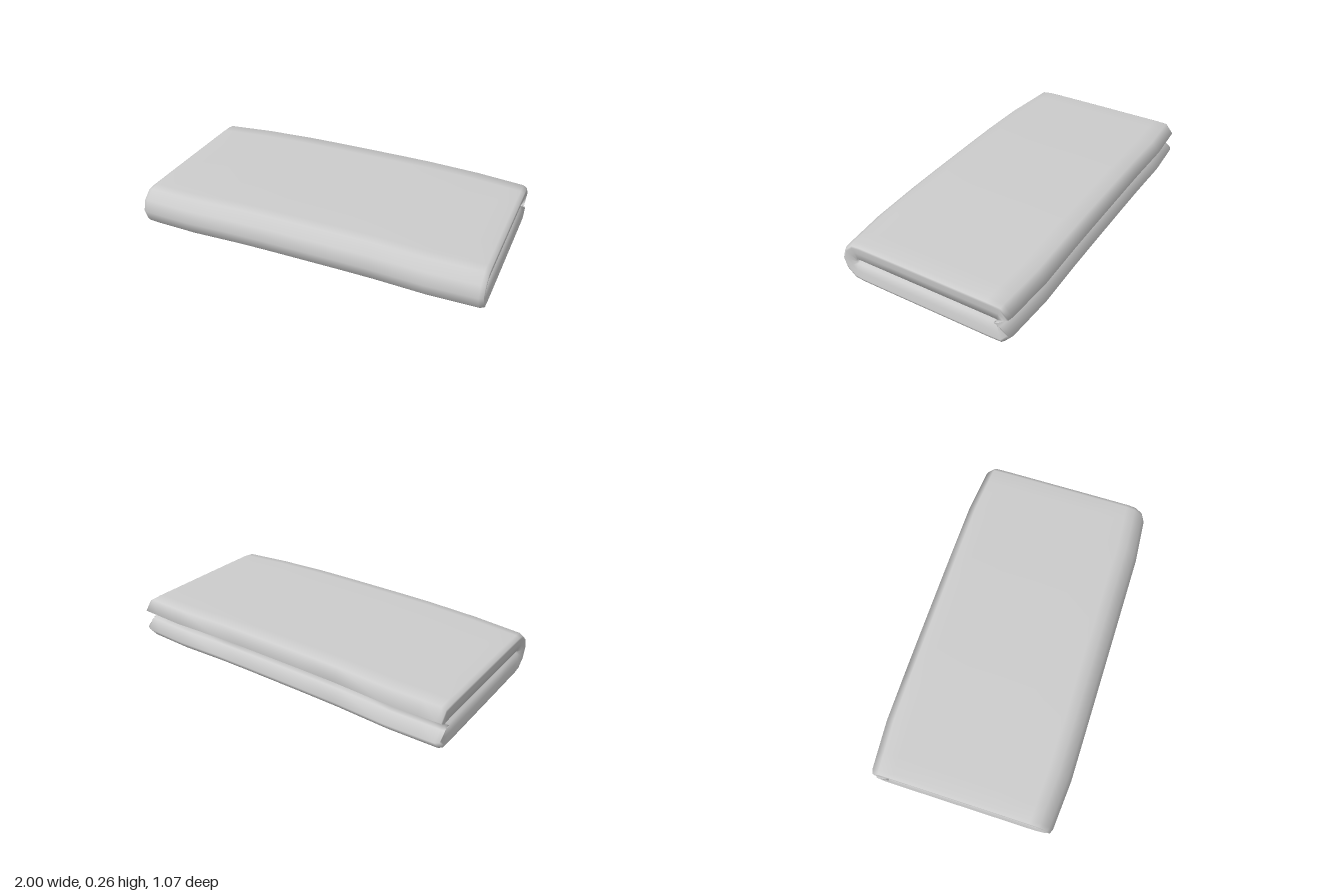
import * as THREE from 'three';

// Upper half of the folded cross-section as [z, height above the fold line], front to back
const UPPER = [
  [0.532, 0], [0.51, 0.066], [0.455, 0.113], [0.4, 0.12], [0.2, 0.121], [0, 0.121],
  [-0.2, 0.121], [-0.4, 0.121], [-0.485, 0.118], [-0.535, 0.06], [-0.475, 0.016], [-0.44, 0],
];
// Stations from centre to end as [x, inset]: the inset rings roll the rim inwards to the slit
const HALF = [
  [0, 0], [0.2, 0], [0.4, 0], [0.7, 0], [0.88, 0], [0.975, 0],
  [0.998, 0.1], [1, 0.2], [0.993, 0.5], [0.985, 0.88], [0.94, 1],
];
const MID_Y = 0.143;

function createFoldedCloth() {
  const lower = UPPER.slice(1, -1).reverse().map(([z, h]) => [z, -h]);
  const outline = [...UPPER, ...lower];
  const stations = [...HALF.slice(1).reverse().map(([x, t]) => [-x, t]), ...HALF];
  const n = outline.length;
  const positions = [];
  const index = [];

  stations.forEach(([x, inset], i) => {
    const ax = Math.abs(x);
    // the cloth sags and narrows slightly towards its ends
    const drop = 0.021 * THREE.MathUtils.clamp((ax - 0.35) / 0.62, 0, 1);
    const narrow = 1 - 0.04 * THREE.MathUtils.clamp((ax - 0.7) / 0.28, 0, 1);
    outline.forEach(([z, h], j) => {
      const core = THREE.MathUtils.clamp(z, -0.44, 0.43);
      positions.push(x, MID_Y - drop + h * (1 - inset), THREE.MathUtils.lerp(z, core, inset) * narrow);
      if (i === stations.length - 1) return;
      const a = i * n + j, c = i * n + (j + 1) % n;
      index.push(a, a + n, c, a + n, c + n, c);
    });
  });

  const geometry = new THREE.BufferGeometry();
  geometry.setAttribute('position', new THREE.Float32BufferAttribute(positions, 3));
  geometry.setIndex(index);
  geometry.computeVertexNormals();
  return geometry;
}

export function createModel() {
  const group = new THREE.Group();
  group.name = 'foldedTowel';
  const cloth = new THREE.MeshStandardMaterial({ color: 0xcccccc });
  cloth.name = 'light grey cloth';
  const towel = new THREE.Mesh(createFoldedCloth(), cloth);
  towel.name = 'foldedCloth';
  group.add(towel);
  return group;
}
